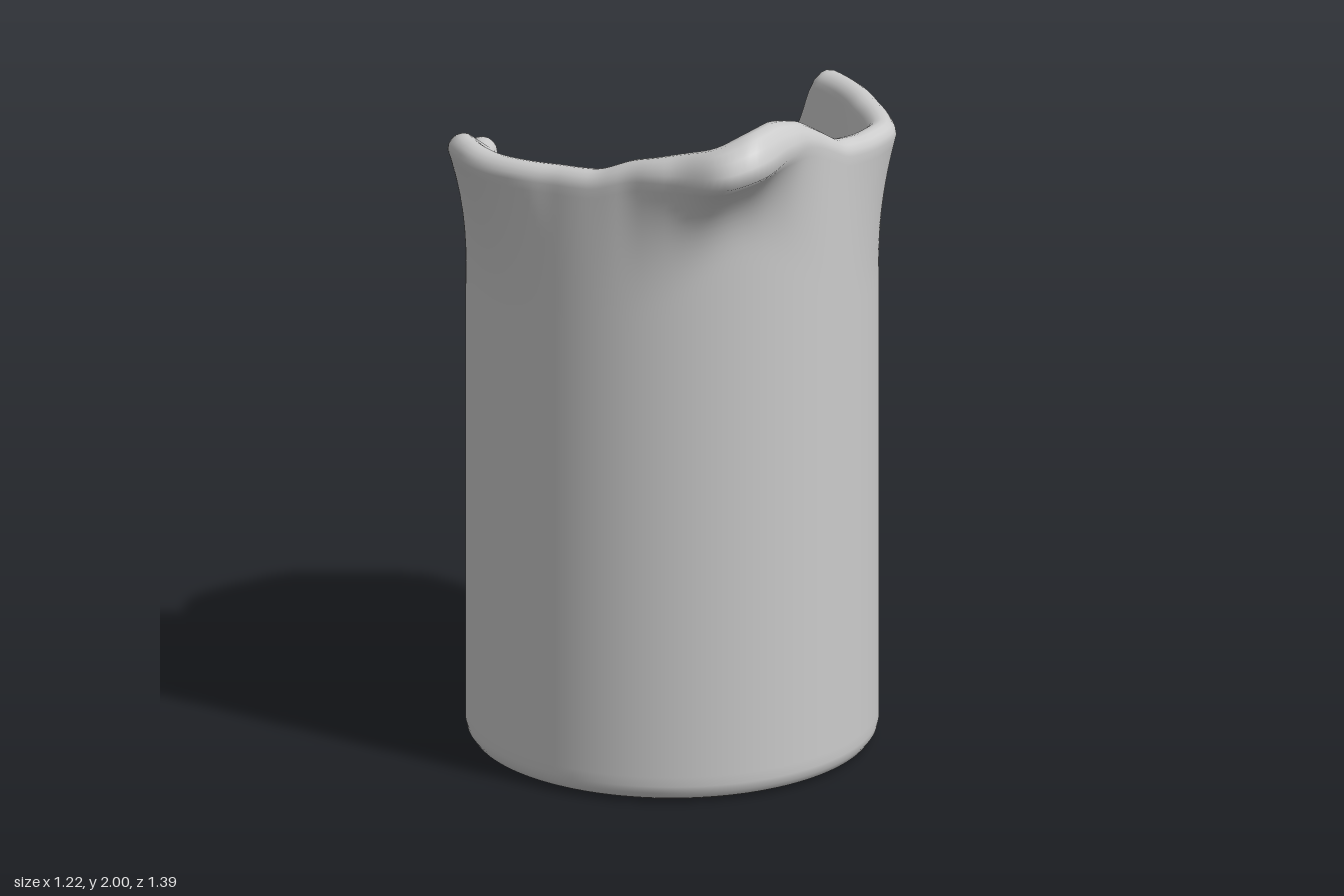
import * as THREE from 'three';

const BODY_R = 0.573, FLOOR_Y = 1.265, SEG = 240;
const CX = 0.037, CZ = -0.03;
const { smoothstep, clamp, degToRad, lerp } = THREE.MathUtils;

// Rim by angle (0 = front, 90 = +x): [degrees, outer radius, height]
const RIM = [
  [-155, 0.57, 1.30], [-151, 0.59, 1.42], [-147, 0.61, 1.57], [-138, 0.59, 1.70],
  [-130, 0.57, 1.74], [-119, 0.575, 1.75], [-113, 0.63, 1.81], [-106, 0.65, 1.84],
  [-96, 0.65, 1.84], [-89, 0.635, 1.835], [-70, 0.575, 1.84], [-55, 0.573, 1.85],
  [-45, 0.58, 1.89], [-31, 0.65, 1.93], [-22, 0.75, 1.97], [-14, 0.75, 2.005],
  [-4, 0.66, 2.0], [6, 0.6, 1.97], [15, 0.575, 1.92], [25, 0.575, 1.86],
  [38, 0.595, 1.84], [49, 0.63, 1.84], [67, 0.59, 1.84], [96, 0.575, 1.84],
  [100, 0.575, 1.73], [108, 0.575, 1.6], [119, 0.573, 1.43], [128, 0.573, 1.3],
  [140, 0.573, 1.32], [150, 0.575, 1.31], [160, 0.575, 1.34], [175, 0.573, 1.31], [205, 0.57, 1.30],
];
// Lower edge of the spilled wax: [degrees, height]
const SPILL = [
  [122, 1.35], [127, 1.25], [133, 1.1], [138, 0.8], [144, 0.62], [150, 0.75], [160, 0.83],
  [165, 0.97], [178, 1.0], [186, 0.9], [193, 0.76], [198, 0.92], [203, 1.15], [207, 1.35],
];

function lookup(table, deg, col) {
  if (deg <= table[0][0]) return table[0][col];
  for (let i = 1; i < table.length; i++) {
    const a = table[i - 1], b = table[i];
    if (deg <= b[0]) return lerp(a[col], b[col], (deg - a[0]) / (b[0] - a[0]));
  }
  return table[table.length - 1][col];
}

const wrap = (deg) => ((deg + 155) % 360 + 360) % 360 - 155;

// Average a few neighbouring samples to round the corners of the rim
function rim(deg, col) {
  let sum = 0;
  for (let k = -2; k <= 2; k++) sum += lookup(RIM, wrap(deg + k * 1.2), col);
  return sum / 5;
}

// Thickness of the overflowing wax on the outer wall
function spill(deg, y, top) {
  if (deg < 122) return 0;
  const edge = smoothstep(y - lookup(SPILL, deg, 1), 0, 0.2);
  const dome = Math.sqrt(clamp((top - y + 0.01) / 0.16, 0, 1));
  const side = smoothstep(deg, 122, 138) * (1 - smoothstep(deg, 192, 207));
  return 0.1 * edge * dome * side;
}

// Cross-section [radius, height] from the open base, over the rim, to the wick
function section(deg) {
  const R = rim(deg, 1), H = rim(deg, 2);
  const spout = Math.exp(-(((deg + 14) / 18) ** 2)); // pouring lip at the front
  const low = 1 - smoothstep(H, 1.34, 1.55);         // gap where the wax overflows
  const pts = [[0.525, 0], [0.535, 0.002], [0.557, 0.012], [0.569, 0.03]];
  const lip = 0.045 + 0.06 * spout, top = H - lip, rows = 64;
  const reach = 0.42 - 0.12 * spout;
  for (let j = 0; j <= rows; j++) {
    const y = 0.05 + (top - 0.05) * j / rows;
    const t = clamp((y - top + reach) / reach, 0, 1);
    pts.push([BODY_R + (R - BODY_R) * t ** (2 + spout) + spill(deg, y, H), y]);
  }
  // Rounded lip
  const outer = pts[pts.length - 1][0], inner = lerp(R - 0.085 - 0.09 * spout, 0.46, low);
  for (let j = 1; j <= 8; j++) {
    const a = Math.PI * j / 8;
    pts.push([(outer + inner) / 2 + (outer - inner) / 2 * Math.cos(a), top + lip * Math.sin(a)]);
  }
  // Inner wall
  for (let j = 1; j <= 12; j++) {
    const t = j / 12;
    pts.push([0.455 + (inner - 0.455) * (1 - t) * (1 - t), top + (FLOOR_Y - top) * t]);
  }
  // Melted pool with a raised centre
  pts.push([0.435, 1.262], [0.41, 1.25], [0.385, 1.22], [0.35, 1.165], [0.31, 1.125], [0.26, 1.1],
    [0.2, 1.095], [0.15, 1.105], [0.11, 1.135], [0.075, 1.2], [0.055, 1.27], [0.042, 1.32],
    [0.025, 1.345], [0, 1.35]);
  return pts;
}

function candleGeometry() {
  const pos = [], index = [];
  let n = 0;
  for (let i = 0; i < SEG; i++) {
    const deg = -155 + 360 * i / SEG, a = degToRad(deg);
    const pts = section(deg);
    n = pts.length;
    for (const [r, y] of pts) pos.push(r * Math.sin(a), y, r * Math.cos(a));
  }
  for (let i = 0; i < SEG; i++) {
    for (let j = 0; j < n - 1; j++) {
      const a = i * n + j, b = ((i + 1) % SEG) * n + j;
      index.push(a, b, b + 1, a, b + 1, a + 1);
    }
  }
  const g = new THREE.BufferGeometry();
  g.setAttribute('position', new THREE.Float32BufferAttribute(pos, 3));
  g.setIndex(index);
  g.computeVertexNormals();
  return g;
}

// Teardrop run of wax; profile points are [radius, height]
function drip(name, deg, dist, profile, mat) {
  const curve = new THREE.SplineCurve(profile.map(([r, y]) => new THREE.Vector2(r, y)));
  const pts = curve.getPoints(40).map((p) => new THREE.Vector2(Math.max(0, p.x), p.y));
  const mesh = new THREE.Mesh(new THREE.LatheGeometry(pts, 20), mat);
  const a = degToRad(deg);
  mesh.position.set(dist * Math.sin(a), 0, dist * Math.cos(a));
  mesh.name = name;
  return mesh;
}

export function createModel() {
  const group = new THREE.Group();
  group.name = 'candle';
  // The shell is hollow and open underneath
  const wax = new THREE.MeshStandardMaterial({ color: 0xcccccc, side: THREE.DoubleSide });

  const candle = new THREE.Group();
  candle.position.set(CX, 0, CZ);
  group.add(candle);

  const body = new THREE.Mesh(candleGeometry(), wax);
  body.name = 'waxBody';
  candle.add(body);

  candle.add(drip('longDrip', 145, 0.605,
    [[0, 0.21], [0.035, 0.222], [0.05, 0.27], [0.044, 0.34], [0.036, 0.46], [0.036, 0.58],
      [0.048, 0.72], [0.062, 0.86], [0.06, 1.02], [0, 1.18]], wax));
  candle.add(drip('shortDrip', 193, 0.603,
    [[0, 0.655], [0.024, 0.665], [0.034, 0.7], [0.027, 0.76], [0.025, 0.82], [0.042, 0.92],
      [0.055, 1.05], [0, 1.18]], wax));

  // Burnt wick stub
  const wick = new THREE.Mesh(new THREE.CylinderGeometry(0.014, 0.018, 0.05, 6),
    new THREE.MeshStandardMaterial({ color: 0x111111 }));
  wick.position.y = 1.35;
  wick.name = 'wick';
  candle.add(wick);

  return group;
}
